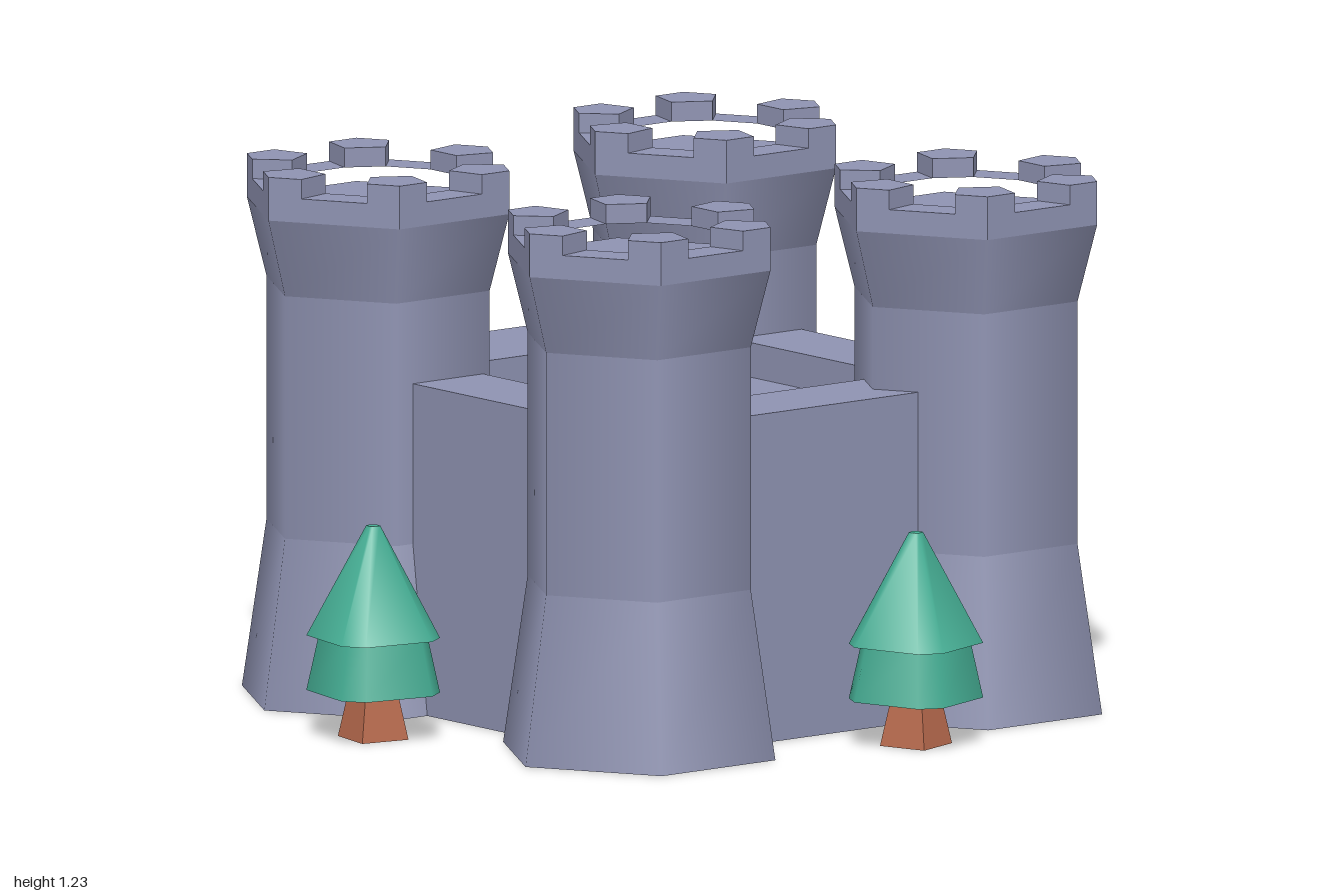
import * as THREE from 'three';

const mat = (name, color) => {
  const m = new THREE.MeshStandardMaterial({ color });
  m.name = name;
  return m;
};

export function createModel() {
  const stone = mat('stone', 0x8f93b2);
  const wood = mat('wood', 0xb96b4e);
  const leaf = mat('foliage', 0x45ae94);
  const model = new THREE.Group();
  model.name = 'castle';

  const add = (parent, name, geo, material, x = 0, y = 0, z = 0) => {
    const m = new THREE.Mesh(geo, material);
    m.name = name;
    m.position.set(x, y, z);
    parent.add(m);
    return m;
  };
  // Box given by its lower and upper corners
  const box = (name, x0, x1, y0, y1, z0, z1) =>
    add(model, name, new THREE.BoxGeometry(x1 - x0, y1 - y0, z1 - z0), stone,
      (x0 + x1) / 2, (y0 + y1) / 2, (z0 + z1) / 2);
  // Flat outline raised upward
  const slab = (shape, depth) =>
    new THREE.ExtrudeGeometry(shape, { depth, bevelEnabled: false }).rotateX(-Math.PI / 2);

  // Keep with a sunken roof inside a parapet
  box('keepBody', -0.575, 0.575, 0, 0.68, -0.56, 0.575);
  box('frontWall', -0.4, 0.4, 0.6, 0.76, 0.37, 0.575);
  box('backWall', -0.4, 0.4, 0.6, 0.76, -0.56, -0.36);
  box('rightWall', 0.365, 0.575, 0.6, 0.76, -0.36, 0.37);
  box('gateLintel', -0.66, -0.36, 0.59, 0.76, -0.33, 0.33);

  // Arched gate on the side wall
  const arch = new THREE.Shape([
    [-0.19, 0], [0.19, 0], [0.19, 0.28], [0.14, 0.42], [0.05, 0.51],
    [-0.05, 0.51], [-0.14, 0.42], [-0.19, 0.28],
  ].map(p => new THREE.Vector2(...p)));
  const gate = add(model, 'gate',
    new THREE.ExtrudeGeometry(arch, { depth: 0.07, bevelEnabled: false }), wood, -0.57, 0, 0);
  gate.rotation.y = -Math.PI / 2;

  // Crown outlines: hexagon corner k, and points a quarter along each edge
  const R = 0.32, inner = 0.197;
  const corner = k => new THREE.Vector2(Math.sin(k * Math.PI / 3), Math.cos(k * Math.PI / 3)).multiplyScalar(R);
  const outerPoint = (k, side) => corner(k).lerp(corner(k + side), 0.25);
  const innerPoint = (k, side) => outerPoint(k, side).setLength(inner);
  const ks = [0, 1, 2, 3, 4, 5];
  const ring = new THREE.Shape(ks.map(corner));
  ring.holes.push(new THREE.Path(ks.flatMap(k => [innerPoint(k, -1), innerPoint(k, 1)])));
  const ringGeo = slab(ring, 0.055);
  const merlonGeos = ks.map(k => slab(new THREE.Shape([
    corner(k), outerPoint(k, 1), innerPoint(k, 1), innerPoint(k, -1), outerPoint(k, -1),
  ]), 0.045));

  // Tower sections: name, bottom height, top height, bottom radius, top radius
  const sections = [
    ['towerFoot', 0, 0.39, 0.332, 0.272],
    ['towerShaft', 0.39, 0.95, 0.272, 0.272],
    ['towerFlare', 0.95, 1.13, 0.272, R],
  ];
  for (const x of [-0.468, 0.479]) {
    for (const z of [-0.467, 0.487]) {
      const tower = new THREE.Group();
      tower.name = 'tower';
      tower.position.set(x, 0, z);
      model.add(tower);
      for (const [name, y0, y1, r0, r1] of sections) {
        add(tower, name, new THREE.CylinderGeometry(r1, r0, y1 - y0, 6), stone, 0, (y0 + y1) / 2, 0);
      }
      add(tower, 'crownRing', ringGeo, stone, 0, 1.13, 0);
      merlonGeos.forEach(g => add(tower, 'merlon', g, stone, 0, 1.185, 0));
    }
  }

  // Eight-sided tier shaped like a square with clipped corners
  const tier = (top, bottom, height) => {
    const g = new THREE.CylinderGeometry(top * 1.21, bottom * 1.21, height, 8);
    g.rotateY(Math.PI / 8);
    const p = g.attributes.position;
    for (let i = 0; i < p.count; i++) {
      const r = Math.hypot(p.getX(i), p.getZ(i));
      if (r < 1e-6) continue;
      const a = Math.atan2(p.getZ(i), p.getX(i));
      const b = a + Math.sin(4 * a) * 0.2;
      p.setX(i, r * Math.cos(b));
      p.setZ(i, r * Math.sin(b));
    }
    return g;
  };

  // Trees: x, z, scale, turn
  for (const [x, z, s, turn] of [
    [0.035, -0.83, 1, 0], [-0.035, 0.85, 0.743, -0.19], [0.807, -0.057, 0.743, 0.33],
  ]) {
    const tree = new THREE.Group();
    tree.name = 'tree';
    tree.position.set(x, 0, z);
    tree.scale.setScalar(s);
    tree.rotation.y = turn;
    model.add(tree);
    const trunk = new THREE.CylinderGeometry(0.075, 0.113, 0.16, 4).rotateY(Math.PI / 4).toNonIndexed();
    trunk.computeVertexNormals();
    add(tree, 'trunk', trunk, wood, 0, 0.08, 0);
    add(tree, 'lowerFoliage', tier(0.138, 0.17, 0.175), leaf, 0, 0.2325, 0);
    add(tree, 'upperFoliage', tier(0.018, 0.17, 0.345), leaf, 0, 0.4875, 0);
  }

  // Six-sided doorstep disc before the gate
  const step = new THREE.CylinderGeometry(0.113, 0.147, 0.045, 6).toNonIndexed();
  step.computeVertexNormals();
  add(model, 'doorstep', step, wood, -0.82, 0.0225, -0.008).rotation.y = 0.22;

  return model;
}
